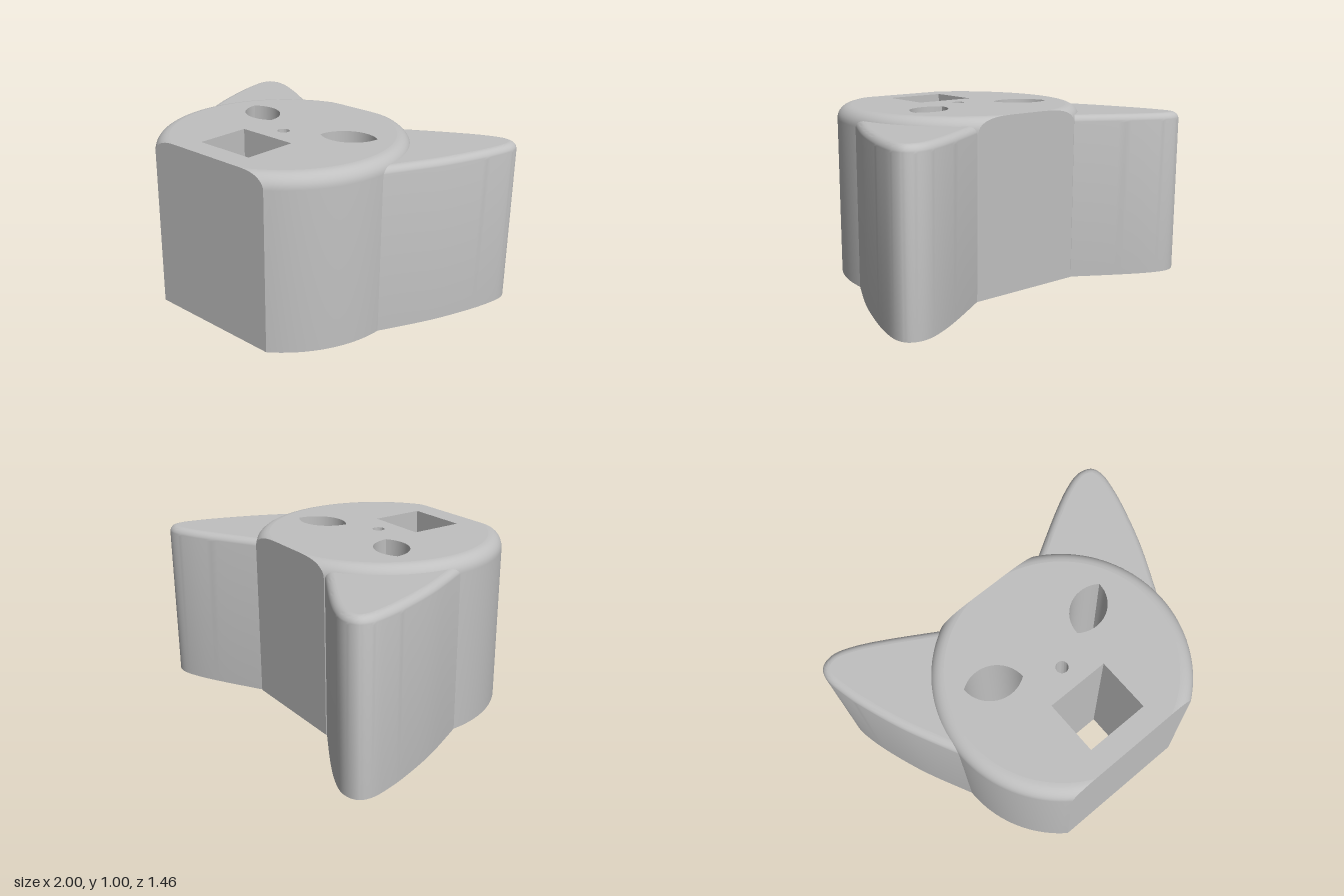
import * as THREE from 'three';
import { mergeGeometries, toCreasedNormals } from 'three/addons/utils/BufferGeometryUtils.js';

// Plan points are Vector2(x, v) with v = -z, listed counter-clockwise from above.
const V = (x, v) => new THREE.Vector2(x, v);

function fromPositions(positions) {
  const g = new THREE.BufferGeometry();
  g.setAttribute('position', new THREE.Float32BufferAttribute(positions, 3));
  return g;
}

// Wall through stacked rings [{ y, points }]; smooth except at sharp corners
function loft(rings) {
  const out = [];
  const put = (p, y) => out.push(p.x, y, -p.y);
  for (let k = 0; k + 1 < rings.length; k++) {
    const lo = rings[k], hi = rings[k + 1], n = lo.points.length;
    for (let i = 0; i < n; i++) {
      const j = (i + 1) % n;
      put(lo.points[i], lo.y); put(lo.points[j], lo.y); put(hi.points[j], hi.y);
      put(lo.points[i], lo.y); put(hi.points[j], hi.y); put(hi.points[i], hi.y);
    }
  }
  return toCreasedNormals(fromPositions(out), 0.5);
}

// Flat horizontal face with holes
function cap(points, holes, y, down) {
  const shape = new THREE.Shape(points);
  shape.holes = holes.map(h => new THREE.Path(h));
  const flat = new THREE.ShapeGeometry(shape).toNonIndexed().getAttribute('position');
  const out = [];
  for (let i = 0; i < flat.count; i += 3) {
    for (const k of down ? [0, 2, 1] : [0, 1, 2]) out.push(flat.getX(i + k), y, -flat.getY(i + k));
  }
  const g = fromPositions(out);
  g.computeVertexNormals();
  return g;
}

// Solid with a rounded top edge; ringAt(inset) gives the outline
function roundedSolid(ringAt, height, radius, holes = []) {
  const rings = [{ y: 0, points: ringAt(0) }];
  const steps = 8;
  for (let i = 0; i <= steps; i++) {
    const a = (i / steps) * Math.PI / 2;
    rings.push({ y: height - radius + radius * Math.sin(a), points: ringAt(radius * (1 - Math.cos(a))) });
  }
  const parts = [
    loft(rings),
    cap(ringAt(radius), holes, height, false),
    cap(ringAt(0), holes, 0, true),
  ];
  for (const h of holes) parts.push(loft([{ y: 0, points: h }, { y: height, points: h }]));
  return mergeGeometries(parts);
}

const mirror = pts => pts.map(p => V(-p.x, p.y)).reverse();

// Head outline: a disc cut flat at the front and back
function headRing(inset) {
  const r = 0.713 - inset, cv = -0.155, n = 40;
  const a0 = Math.asin((-0.73 - cv) / r), a1 = Math.asin((0.467 - cv) / r);
  const side = [];
  for (let i = 0; i <= n; i++) {
    const a = a0 + (a1 - a0) * i / n;
    side.push(V(r * Math.cos(a), cv + r * Math.sin(a)));
  }
  return [...side, ...mirror(side)];
}

// Eye hole: a lens of two equal arcs between its corners (clockwise, as all holes)
function eyeHole() {
  const a = V(0.193, -0.06), b = V(0.48, 0.085), sag = 0.1, n = 16;
  const half = a.distanceTo(b) / 2;
  const r = (half * half + sag * sag) / (2 * sag);
  const open = Math.asin(half / r);
  const mid = a.clone().add(b).multiplyScalar(0.5);
  const u = b.clone().sub(a).normalize();
  const pts = [];
  for (const s of [1, -1]) {
    for (let i = 0; i < n; i++) {
      const t = -open + 2 * open * i / n;
      const along = s * r * Math.sin(t), up = s * (r * Math.cos(t) - r + sag);
      pts.push(V(mid.x + u.x * along - u.y * up, mid.y + u.y * along + u.x * up));
    }
  }
  return pts;
}

// Ear outline, offset inward along its normals; both ends are buried in the head
const earCurve = new THREE.SplineCurve([
  V(0.68, -0.22), V(0.712, -0.155), V(0.85, 0.13), V(0.94, 0.37), V(0.985, 0.53), V(1, 0.64),
  V(0.972, 0.71), V(0.89, 0.734), V(0.78, 0.703), V(0.62, 0.622), V(0.364, 0.47), V(0.32, 0.44),
]);
function earRing(inset) {
  const pts = [], n = 72;
  for (let i = 0; i <= n; i++) {
    const p = earCurve.getPoint(i / n), t = earCurve.getTangent(i / n);
    pts.push(V(p.x - t.y * inset, p.y + t.x * inset));
  }
  return pts;
}

export function createModel() {
  const group = new THREE.Group();
  const grey = new THREE.MeshStandardMaterial({ color: 0xc0c0c0 });
  grey.name = 'grey';
  const add = (geometry, name) => {
    const mesh = new THREE.Mesh(geometry, grey);
    mesh.name = name;
    group.add(mesh);
  };

  // Head with eye, nose and mouth holes
  const eye = eyeHole();
  const nose = [];
  for (let i = 0; i < 32; i++) {
    const a = -i / 32 * Math.PI * 2;
    nose.push(V(0.035 * Math.cos(a), -0.155 + 0.035 * Math.sin(a)));
  }
  const mouth = [V(-0.184, -0.6), V(-0.184, -0.284), V(0.184, -0.284), V(0.184, -0.6)];
  add(roundedSolid(headRing, 1, 0.08, [eye, mirror(eye), nose, mouth]), 'head');

  // Ears
  add(roundedSolid(earRing, 0.955, 0.045), 'leftEar');
  add(roundedSolid(inset => mirror(earRing(inset)), 0.955, 0.045), 'rightEar');
  return group;
}
